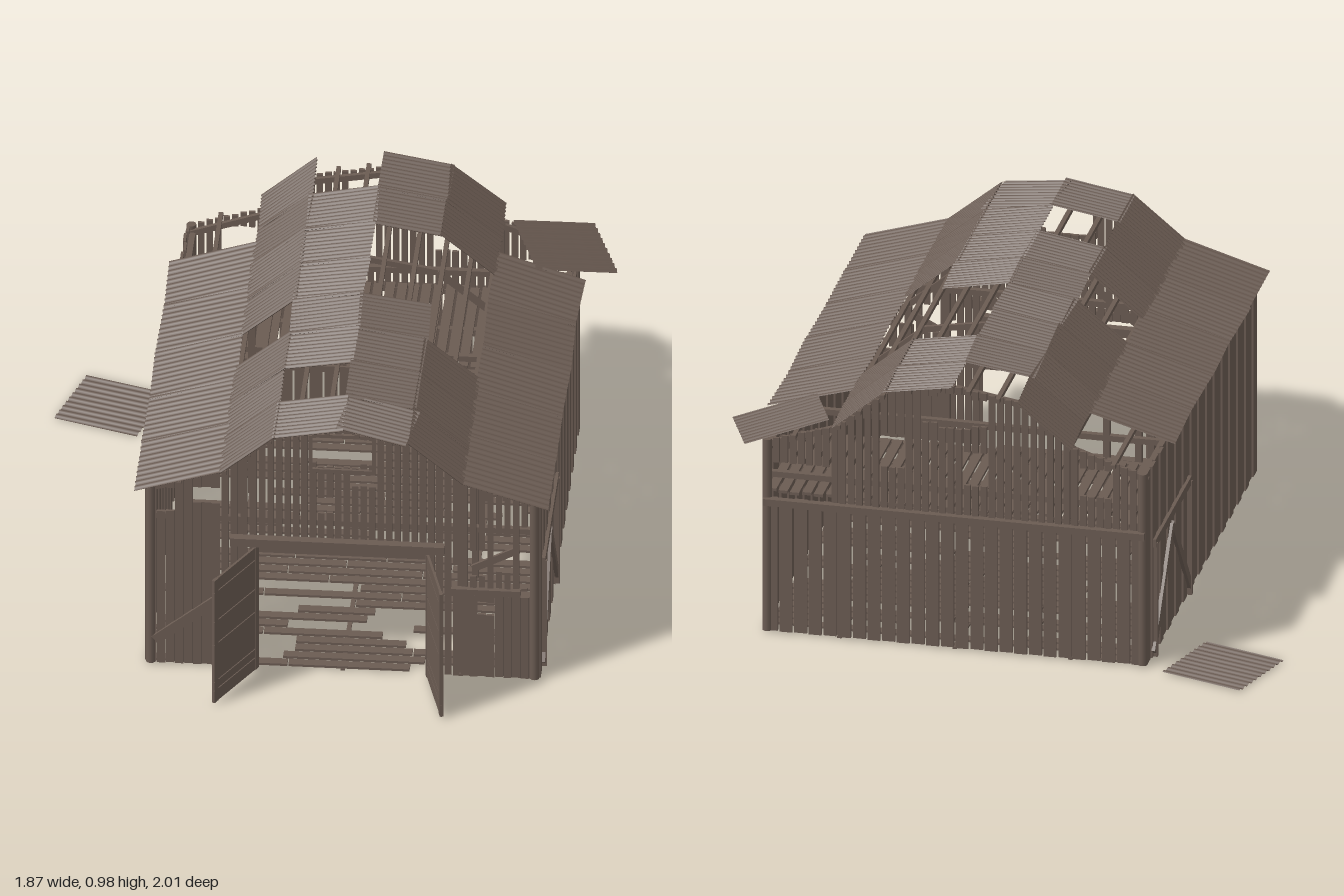
import * as THREE from 'three';

const wood = new THREE.MeshStandardMaterial({ color: 0x6a5b52 });
wood.name = 'weatheredWood';
const sheetMat = new THREE.MeshStandardMaterial({ color: 0x67584f, side: THREE.DoubleSide });
sheetMat.name = 'corrugatedSheet';

// Gambrel roof outline: x, y
const PROFILE = [[-0.54, 0.70], [-0.26, 0.785], [-0.085, 0.93], [0.14, 0.968], [0.365, 0.93], [0.54, 0.785], [0.82, 0.70]];
const X0 = -0.505, X1 = 0.785, FRONT = 0.735, BACK = -0.875;

let seed = 7;
const rand = () => (seed = (seed * 16807) % 2147483647) / 2147483647;

function roofY(x) {
  for (let i = 0; i < PROFILE.length - 1; i++) {
    const [ax, ay] = PROFILE[i], [bx, by] = PROFILE[i + 1];
    if (x <= bx) return ay + (by - ay) * (x - ax) / (bx - ax);
  }
  return 0.7;
}

function box(parent, name, w, h, d, x, y, z) {
  const m = new THREE.Mesh(new THREE.BoxGeometry(w, h, d), wood);
  m.name = name;
  m.position.set(x, y, z);
  parent.add(m);
  return m;
}

// Straight timber from point a to point b
function beam(parent, name, a, b, w = 0.02, h = w) {
  const p = new THREE.Vector3(...a), q = new THREE.Vector3(...b);
  const m = box(parent, name, w, h, p.distanceTo(q), 0, 0, 0);
  m.position.copy(p).add(q).multiplyScalar(0.5);
  m.lookAt(q);
  return m;
}

function group(parent, name) {
  const g = new THREE.Group();
  g.name = name;
  parent.add(g);
  return g;
}

// Upright boards between y0 and y1(x), cut by holes [x0, x1, y0, y1]
function boards(parent, x0, x1, pitch, width, z, y0, topAt, holes) {
  const n = Math.round((x1 - x0) / pitch);
  for (let i = 0; i < n; i++) {
    const x = x0 + (i + 0.5) * (x1 - x0) / n;
    let spans = [[y0, topAt(x)]];
    for (const [hx0, hx1, hy0, hy1] of holes) {
      if (x < hx0 || x > hx1) continue;
      spans = spans.flatMap(([a, b]) => [[a, Math.min(b, hy0)], [Math.max(a, hy1), b]]).filter(([a, b]) => b - a > 0.005);
    }
    for (const [a, b] of spans) box(parent, 'board', width, b - a, 0.01, x, (a + b) / 2, z + (i % 2) * 0.004);
  }
}

// Corrugated sheet centred at the origin, waves across its length
function sheet(parent, name, w, l) {
  const g = new THREE.PlaneGeometry(w, l, 1, 60).rotateX(-Math.PI / 2);
  const p = g.attributes.position;
  for (let i = 0; i < p.count; i++) p.setY(i, 0.004 * Math.sin((p.getZ(i) / l) * Math.PI * 2 * 10));
  g.computeVertexNormals();
  const m = new THREE.Mesh(g, sheetMat);
  m.name = name;
  m.rotation.order = 'ZYX';
  parent.add(m);
  return m;
}

function buildRoof(root) {
  const roof = group(root, 'roof');
  const lean = [0.79, 0.5, 0.22, -0.06, -0.345, -0.625];
  const upper = [0.79, 0.575, 0.36, 0.145, -0.065, -0.28, -0.5, -0.715, -0.93];
  // Row edges per slope, with the rows that have fallen off
  const slopes = [[lean, []], [upper, [3]], [upper, [1, 7]], [upper, [4, 5]], [upper, [3, 4, 5]], [lean, []]];
  slopes.forEach(([rows, missing], s) => {
    const [ax, ay] = PROFILE[s], [bx, by] = PROFILE[s + 1];
    for (let r = 0; r < rows.length - 1; r++) {
      const turn = (rand() - 0.5) * (r === 0 ? 0 : 0.1), lift = rand() * 0.006;
      if (missing.includes(r)) continue;
      const m = sheet(roof, 'roofSheet', Math.hypot(bx - ax, by - ay) + 0.01, rows[r] - rows[r + 1] + 0.012);
      m.position.set((ax + bx) / 2, (ay + by) / 2 + 0.004 + lift, (rows[r] + rows[r + 1]) / 2);
      m.rotation.set(0, s === 3 && r === 0 ? -0.14 : turn, Math.atan2(by - ay, bx - ax));
    }
  });
  // Slipped sheet at the back corner and fallen sheet on the ground
  const slipped = sheet(roof, 'slippedSheet', 0.29, 0.28);
  slipped.position.set(0.75, 0.735, -0.78);
  slipped.rotation.set(0, 0.38, -0.25);
  const fallen = sheet(root, 'fallenSheet', 0.295, 0.285);
  fallen.position.set(-0.755, 0.008, -0.82);
  fallen.rotation.y = -0.31;
}

function buildFrame(root) {
  const frame = group(root, 'frame');
  // Purlins under each slope
  for (const x of [-0.4, -0.25, -0.17, -0.1, -0.01, 0.09, 0.19, 0.29, 0.38, 0.46, 0.53, 0.68]) {
    beam(frame, 'purlin', [x, roofY(x) - 0.018, 0.77], [x, roofY(x) - 0.018, -0.9], 0.015);
  }
  // Rafter frames with a tie beam and two posts
  for (const z of [FRONT - 0.02, 0.145, -0.33, BACK + 0.02]) {
    for (let i = 0; i < 6; i++) {
      const [ax, ay] = PROFILE[i], [bx, by] = PROFILE[i + 1];
      beam(frame, 'rafter', [ax + (i === 0 ? 0.03 : 0), ay - 0.03, z], [bx - (i === 5 ? 0.03 : 0), by - 0.03, z], 0.014, 0.02);
    }
    beam(frame, 'tieBeam', [X0, 0.57, z], [X1, 0.57, z], 0.02);
    for (const x of [-0.25, 0.53]) beam(frame, 'innerPost', [x, 0.01, z], [x, 0.76, z], 0.022);
  }
  // Round corner posts
  for (const x of [X0 + 0.01, X1 - 0.01]) for (const z of [FRONT, BACK + 0.005]) {
    const m = new THREE.Mesh(new THREE.CylinderGeometry(0.016, 0.016, 0.69, 12), wood);
    m.name = 'cornerPost';
    m.position.set(x, 0.355, z);
    frame.add(m);
  }
}

function buildFrontAndBack(root) {
  const front = group(root, 'frontWall');
  const top = (x) => roofY(x) - 0.015;
  const hatch = [[0.04, 0.24, 0.815, 0.91], [0.07, 0.21, 0.8, 0.925]];
  boards(front, X0, -0.265, 0.03, 0.0285, FRONT, 0.01, top, [[-0.35, -0.28, 0.64, 0.7], [-0.47, -0.41, 0.6, 0.69]]);
  boards(front, -0.265, -0.14, 0.03, 0.023, FRONT, 0.01, top, []);
  boards(front, -0.14, 0.42, 0.028, 0.021, FRONT, 0.5, top, [...hatch, [0.06, 0.1, 0.62, 0.68], [0.17, 0.24, 0.73, 0.78]]);
  boards(front, 0.42, 0.53, 0.028, 0.022, FRONT, 0.01, top, [[0.49, 0.53, 0.34, 0.45]]);
  boards(front, 0.53, X1, 0.028, 0.02, FRONT, 0.35, top, [[0.57, 0.61, 0.4, 0.5], [0.65, 0.7, 0.42, 0.56], [0.72, 0.75, 0.36, 0.6]]);
  boards(front, 0.53, X1, 0.028, 0.0275, FRONT, 0.01, () => 0.325, [[0.58, 0.65, 0.25, 0.3]]);
  beam(front, 'sillRail', [0.5, 0.345, FRONT + 0.012], [0.73, 0.345, FRONT + 0.012], 0.022);
  beam(front, 'diagonalBrace', [-0.48, 0.1, FRONT + 0.012], [-0.27, 0.27, FRONT + 0.012], 0.01, 0.035);
  beam(front, 'looseBoard', [0.57, 0.42, FRONT - 0.01], [0.72, 0.5, FRONT - 0.01], 0.01, 0.025);
  beam(front, 'doorTrack', [-0.23, 0.51, FRONT + 0.025], [0.48, 0.51, FRONT + 0.025], 0.03);
  beam(front, 'doorHeader', [-0.14, 0.47, FRONT - 0.01], [0.42, 0.47, FRONT - 0.01], 0.03);
  // Hatch surround
  for (const y of [0.79, 0.925]) beam(front, 'hatchTrim', [0.04, y, FRONT + 0.01], [0.24, y, FRONT + 0.01], 0.012);
  for (const x of [0.035, 0.245]) beam(front, 'hatchTrim', [x, 0.79, FRONT + 0.01], [x, 0.925, FRONT + 0.01], 0.012);

  const back = group(root, 'backWall');
  boards(back, X0, X1, 0.05, 0.043, BACK, 0.01, () => 0.49, []);
  boards(back, X0, X1, 0.028, 0.021, BACK, 0.49, top,
    [...hatch, [-0.4, -0.28, 0.6, 0.7], [0.03, 0.1, 0.6, 0.72], [0.32, 0.38, 0.64, 0.76], [0.55, 0.75, 0.42, 0.62]]);
  beam(back, 'bandRail', [X0, 0.48, BACK - 0.012], [X1, 0.48, BACK - 0.012], 0.024);
}

function buildSides(root) {
  // Each side is built along z; the outer brace sits at opposite ends
  for (const [name, x, out, mid] of [['leftWall', X1, 1, 0.4], ['rightWall', X0, -1, -0.54]]) {
    const wall = group(root, name);
    const n = 28, pitch = (FRONT - BACK) / n;
    for (let i = 0; i < n; i++) {
      box(wall, 'board', 0.01, 0.69, pitch - 0.008, x + (i % 2) * 0.005 * out, 0.355, BACK + (i + 0.5) * pitch);
    }
    const bx = x + out * 0.014;
    beam(wall, 'braceRail', [bx, 0.42, mid - 0.265], [bx, 0.42, mid + 0.265], 0.012, 0.03);
    for (const s of [-1, 1]) {
      beam(wall, 'brace', [bx, 0.375, mid], [bx, 0.03, mid + s * 0.27], 0.012, 0.028);
      beam(wall, 'braceStile', [bx, 0.01, mid + s * 0.255], [bx, 0.42, mid + s * 0.255], 0.02, 0.012);
    }
    beam(wall, 'topPlate', [x - out * 0.015, 0.67, BACK], [x - out * 0.015, 0.67, FRONT], 0.02);
  }
}

function buildDoors(root) {
  for (const [name, x, angle] of [['rightDoor', -0.14, -2.067], ['leftDoor', 0.42, -1.307]]) {
    const door = group(root, name);
    door.position.set(x, 0, FRONT + 0.01);
    door.rotation.y = angle;
    let y = 0.012;
    for (const h of [0.045, 0.03, 0.14, 0.085, 0.11, 0.045]) {
      box(door, 'doorBoard', 0.268, h, 0.008, 0.134, y + h / 2, 0);
      y += h + 0.004;
    }
    for (const sx of [0.012, 0.256]) box(door, 'doorStile', 0.022, 0.475, 0.012, sx, 0.25, 0);
  }
}

function buildFloors(root) {
  // Broken ground planks running across
  const floor = group(root, 'floor');
  const n = 34;
  for (let i = 0; i < n; i++) {
    const z = BACK + 0.02 + i * (FRONT - BACK - 0.04) / (n - 1);
    let x = X0 + 0.01;
    while (x < X1 - 0.03) {
      const end = Math.min(x + 0.15 + rand() * 0.35, X1 - 0.01);
      if (rand() > 0.27) box(floor, 'floorPlank', end - x - 0.004, 0.008, 0.034, (x + end) / 2, 0.014, z);
      x = end;
    }
  }
  for (const x of [-0.25, 0.14, 0.53]) beam(floor, 'joist', [x, 0.008, BACK], [x, 0.008, FRONT], 0.015, 0.008);
  // Loft planks at the back running lengthwise
  const loft = group(root, 'loft');
  for (let x = X0 + 0.03; x < X1; x += 0.04) {
    box(loft, 'loftPlank', 0.031, 0.01, 0.52 - rand() * 0.06, x, 0.505, BACK + 0.26);
  }
  for (const z of [-0.36, -0.62]) beam(loft, 'loftBeam', [X0, 0.488, z], [X1, 0.488, z], 0.022);
}

export function createModel() {
  seed = 7;
  const root = new THREE.Group();
  root.name = 'oldBarn';
  buildRoof(root);
  buildFrame(root);
  buildFrontAndBack(root);
  buildSides(root);
  buildDoors(root);
  buildFloors(root);
  return root;
}
